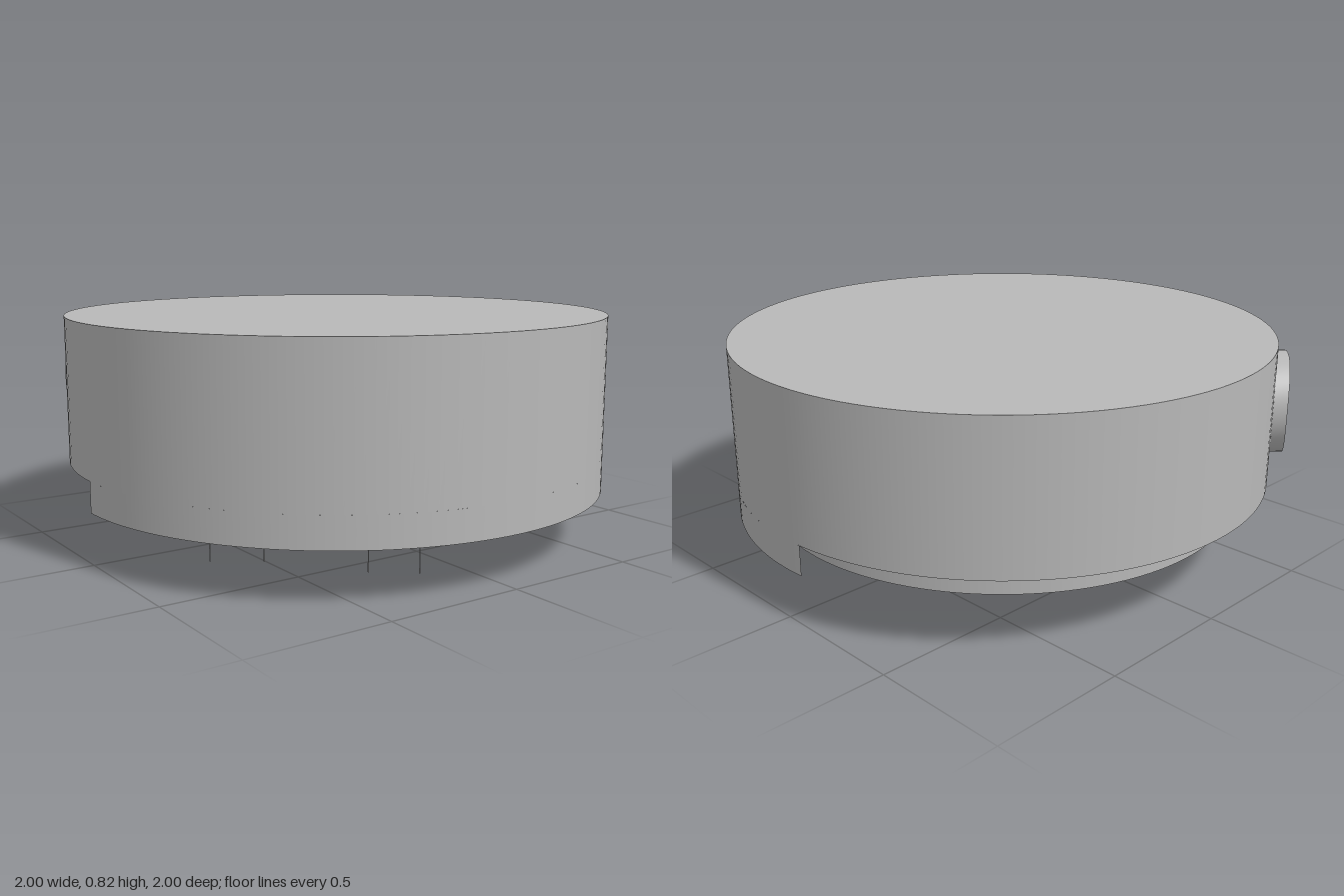
import * as THREE from 'three';

export function createModel() {
  const model = new THREE.Group();
  const grey = new THREE.MeshStandardMaterial({ color: 0xb8b8b8, side: THREE.DoubleSide });
  grey.name = 'plain grey';

  const add = (name, geometry, x = 0, y = 0, z = 0) => {
    const mesh = new THREE.Mesh(geometry, grey);
    mesh.name = name;
    mesh.position.set(x, y, z);
    model.add(mesh);
    return mesh;
  };

  // Main drum and the narrower base plate under it
  add('drum', new THREE.CylinderGeometry(1, 1, 0.53, 128), 0, 0.555, 0);
  add('basePlate', new THREE.CylinderGeometry(0.88, 0.88, 0.11, 128), 0, 0.235, 0);

  // Thin skirt hanging around the front half
  const start = -Math.PI / 2 - 0.01;
  const end = Math.PI / 2 + 0.08;
  add('frontSkirt', new THREE.CylinderGeometry(1, 1, 0.11, 96, 1, true, start, end - start), 0, 0.235, 0);

  // Round button bent to follow the drum wall
  const profile = [[0.19, 0], [0.19, 1], [0.19, 1], [0.13, 1], [0.07, 1], [0, 1]]
    .map(([r, h]) => new THREE.Vector2(r, h));
  const button = new THREE.LatheGeometry(profile, 48).rotateX(Math.PI / 2);
  const pos = button.attributes.position;
  for (let i = 0; i < pos.count; i++) {
    const radius = 0.99 + 0.06 * pos.getZ(i);
    pos.setZ(i, Math.sqrt(radius ** 2 - pos.getX(i) ** 2));
  }
  button.computeVertexNormals();
  add('sideButton', button, 0, 0.56, 0).rotation.y = Math.atan2(-0.66, -0.75);

  // Low pads on the underside
  const pad = (name, outline) => {
    const curve = new THREE.CatmullRomCurve3(outline.map(([x, z]) => new THREE.Vector3(x, z, 0)), true);
    const shape = new THREE.Shape(curve.getPoints(48).slice(0, -1).map(p => new THREE.Vector2(p.x, p.y)));
    const geometry = new THREE.ExtrudeGeometry(shape, { depth: 0.01, bevelEnabled: false });
    add(name, geometry.rotateX(Math.PI / 2), 0, 0.18, 0);
  };
  pad('curvedPad', [[0.346, 0.386], [0.387, 0.298], [0.338, 0.274], [0.272, 0.281], [0.277, 0.164],
    [0.217, 0.161], [0.131, 0.212], [0.106, 0.298], [0.158, 0.385], [0.253, 0.417]]);
  const oval = [];
  for (let i = 0; i < 12; i++) {
    const a = (i / 12) * Math.PI * 2;
    oval.push([-0.18 + 0.145 * Math.cos(a), -0.305 + 0.125 * Math.sin(a)]);
  }
  pad('ovalPad', oval);

  // Hair-thin pins: x, z and the height of the lower tip
  for (const [x, z, tip] of [[-0.15, 0.7, 0], [-0.355, 0.69, 0.04], [-0.62, 0.485, 0.07], [-0.68, 0.23, 0.015]]) {
    const length = 0.185 - tip;
    add('pin', new THREE.CylinderGeometry(0.002, 0.002, length, 6), x, tip + length / 2, z);
  }

  return model;
}
